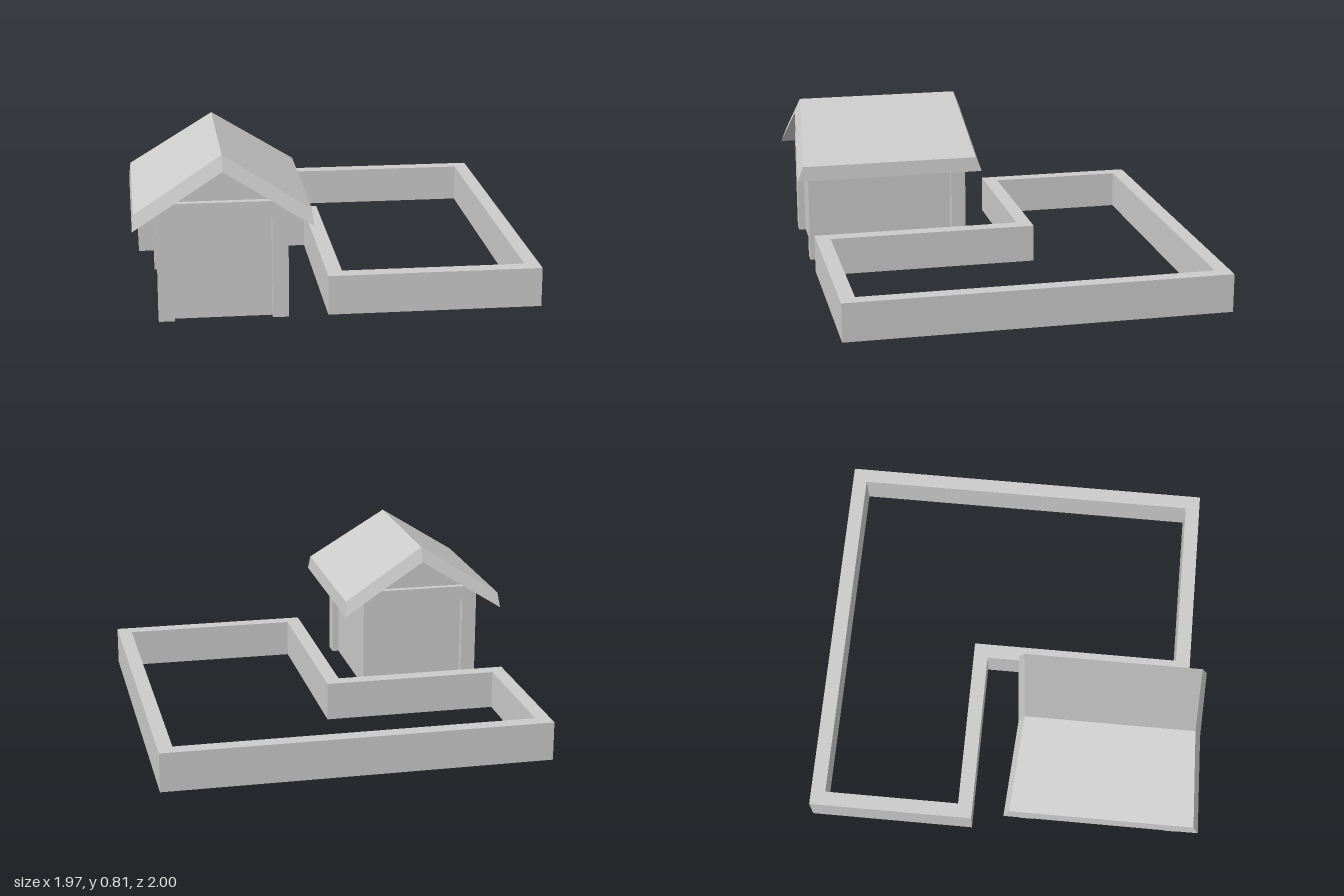
import * as THREE from 'three';

const material = new THREE.MeshStandardMaterial({ color: 0xcccccc, flatShading: true });

function add(parent, name, geometry, x = 0, y = 0, z = 0) {
  const mesh = new THREE.Mesh(geometry, material);
  mesh.name = name;
  mesh.position.set(x, y, z);
  parent.add(mesh);
  return mesh;
}

const outline = (points) => points.map(([x, y]) => new THREE.Vector2(x, y));
const extrude = (shape, depth) => new THREE.ExtrudeGeometry(shape, { depth, bevelEnabled: false });

// L-shaped yard wall: plan drawn in x and -z, then laid flat
function createYardWall(parent) {
  const plan = new THREE.Shape(outline([
    [-0.945, 1], [-0.945, 0.155], [-0.06, 0.155], [-0.06, -0.925], [0.983, -0.925], [0.983, 1],
  ]));
  plan.holes.push(new THREE.Path(outline([
    [-0.872, 0.925], [0.91, 0.925], [0.91, -0.85], [0.015, -0.85], [0.015, 0.23], [-0.872, 0.23],
  ])));
  const geometry = extrude(plan, 0.195);
  geometry.rotateX(-Math.PI / 2);
  add(parent, 'yardWall', geometry);
}

// Gabled roof whose end faces lean outward towards the bottom and inward towards the eaves
function createRoof(parent) {
  const section = new THREE.Shape(outline([
    [0, 0.81], [-0.417, 0.545], [-0.425, 0.47], [0, 0.735], [0.425, 0.47], [0.417, 0.545],
  ]));
  const geometry = extrude(section, 1);
  const p = geometry.attributes.position;
  for (let i = 0; i < p.count; i++) {
    const half = 0.42 + 0.4 * (0.81 - p.getY(i)) - 0.16 * Math.abs(p.getX(i));
    p.setZ(i, p.getZ(i) > 0.5 ? half : -half);
  }
  geometry.computeVertexNormals();
  add(parent, 'roof', geometry);
}

function createHouse(parent) {
  const house = new THREE.Group();
  house.name = 'house';
  house.position.set(-0.56, 0, 0.507);
  parent.add(house);

  const halfX = 0.31, halfZ = 0.422, post = 0.077, inset = 0.035, top = 0.58;

  // Recessed walls with gable ends
  const w = halfX - inset, d = halfZ - inset;
  const wall = extrude(new THREE.Shape(outline([[-w, 0], [w, 0], [w, top], [0, 0.75], [-w, top]])), 2 * d);
  add(house, 'walls', wall, 0, 0, -d);

  // Corner posts, and beams between their tops
  const beamY = 0.5425, beamHeight = 0.075;
  for (const s of [-1, 1]) {
    for (const t of [-1, 1]) {
      add(house, 'cornerPost', new THREE.BoxGeometry(post, top, post),
        s * (halfX - post / 2), top / 2, t * (halfZ - post / 2));
    }
    add(house, 'gableBeam', new THREE.BoxGeometry(2 * (halfX - post), beamHeight, post),
      0, beamY, s * (halfZ - post / 2));
    add(house, 'sideBeam', new THREE.BoxGeometry(post, beamHeight, 2 * (halfZ - post)),
      s * (halfX - post / 2), beamY, 0);
  }

  createRoof(house);
}

export function createModel() {
  const model = new THREE.Group();
  model.name = 'houseWithYard';
  createYardWall(model);
  createHouse(model);
  return model;
}
